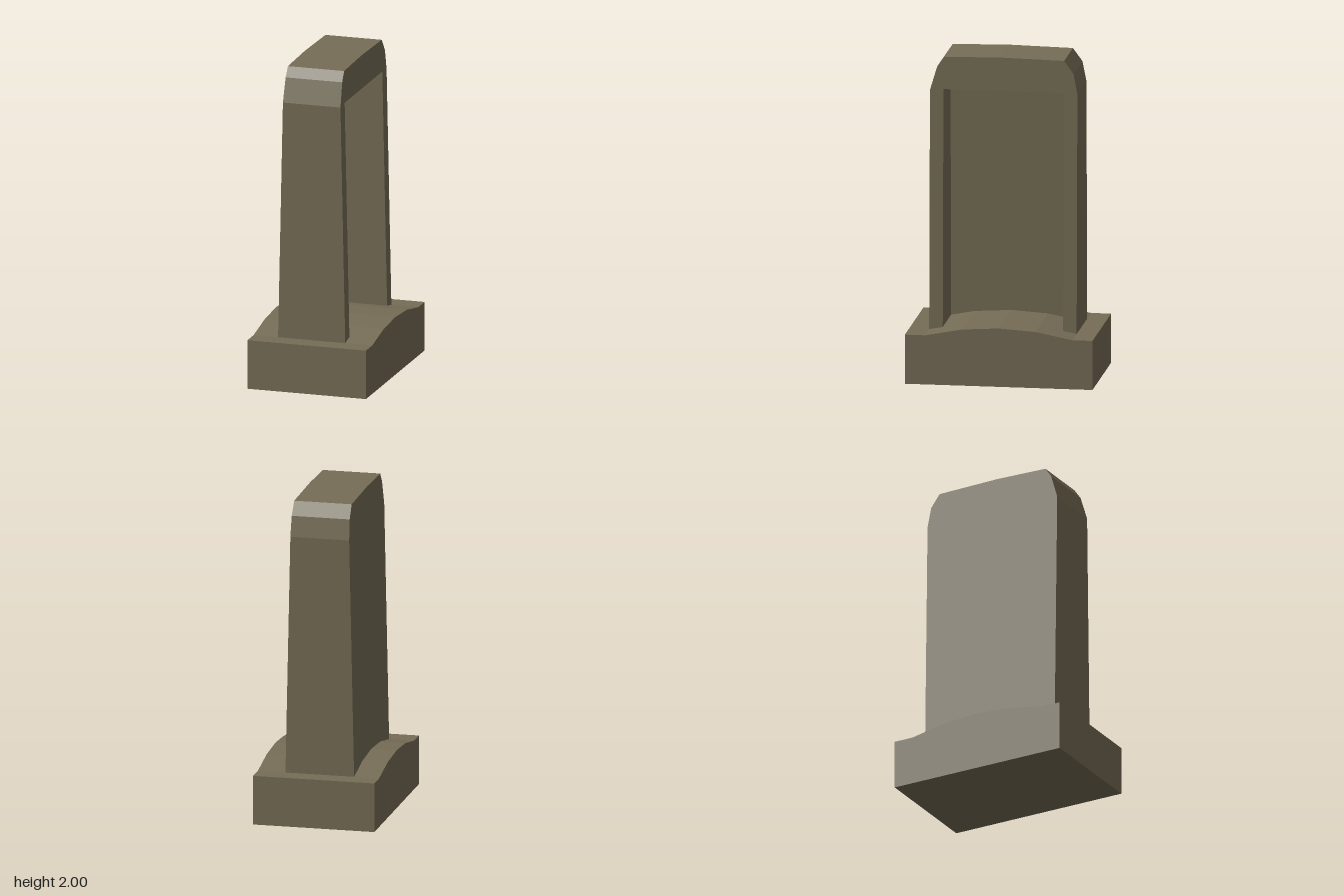
import * as THREE from 'three';

const stone = new THREE.MeshStandardMaterial({ color: 0x766d56 });
stone.name = 'weathered stone';

// Side profile given as [z, y] points; the extrusion runs along x from 0 to 1.
const toPoints = (list) => list.map(([z, y]) => new THREE.Vector2(-z, y));

// Extrudes a side profile, then stretches it between the planes x = left(y) and x = right(y).
function slab(name, profile, left, right) {
  const geometry = new THREE.ExtrudeGeometry(new THREE.Shape(toPoints(profile)), {
    depth: 1, bevelEnabled: false,
  });
  geometry.rotateY(Math.PI / 2);
  const p = geometry.attributes.position;
  for (let i = 0; i < p.count; i++) {
    const y = p.getY(i);
    p.setX(i, THREE.MathUtils.lerp(left(y), right(y), p.getX(i)));
  }
  geometry.computeVertexNormals();
  const mesh = new THREE.Mesh(geometry, stone);
  mesh.name = name;
  return mesh;
}

// Plane leaning from x = low at the foot to x = high at the top.
const lean = (low, high) => (y) => low + (high - low) * (y - 0.305) / 1.695;

export function createModel() {
  const group = new THREE.Group();
  group.name = 'hollowMarkerStone';

  // Plinth with a gently humped top
  group.add(slab('base', [
    [0.575, 0], [0.575, 0.305], [0.452, 0.305], [0.225, 0.349], [0, 0.363],
    [-0.225, 0.349], [-0.452, 0.305], [-0.575, 0.305], [-0.575, 0],
  ], () => -0.378, () => 0.378));

  // Rounded outline shared by the back panel and the surrounding frame
  const foot = 0.29;
  const outline = [
    [-0.452, foot], [-0.452, 1.787], [-0.428, 1.912], [-0.37, 1.992],
    [0.03, 2], [0.367, 1.992], [0.408, 1.932], [0.452, 1.785], [0.452, foot],
  ];
  const back = lean(-0.222, -0.187);
  const recess = lean(-0.136, -0.108);
  const face = lean(0.206, 0.171);

  group.add(slab('backPanel', outline, back, recess));

  // Frame: the same outline with an opening that reaches down to the plinth
  group.add(slab('frame', [
    ...outline, [0.369, foot], [0.369, 1.793], [-0.369, 1.793], [-0.369, foot],
  ], recess, face));

  return group;
}
